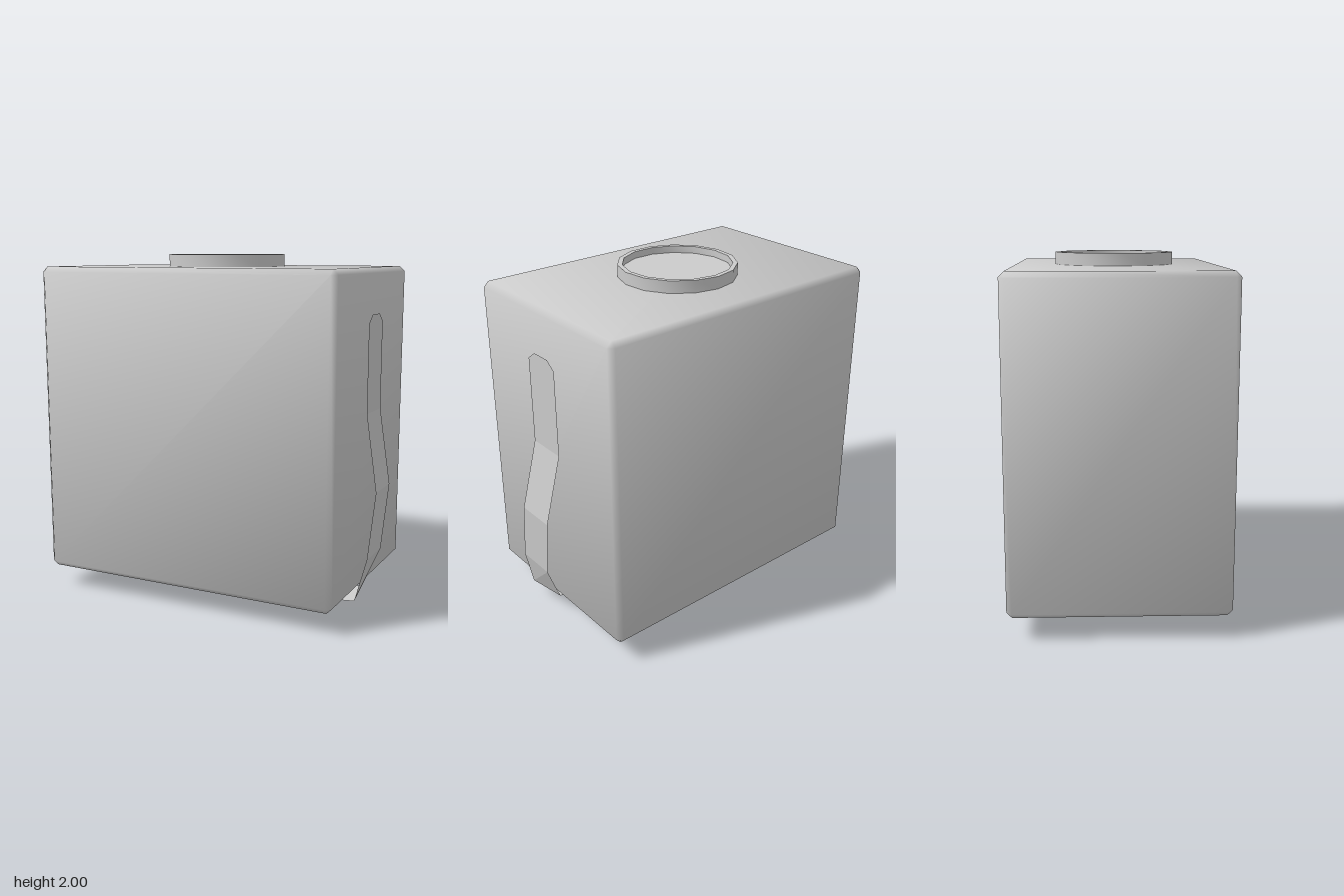
import * as THREE from 'three';
import { ConvexGeometry } from 'three/addons/geometries/ConvexGeometry.js';
import { toCreasedNormals } from 'three/addons/utils/BufferGeometryUtils.js';

const grey = new THREE.MeshStandardMaterial({ color: 0xcccccc });
const strapMaterial = new THREE.MeshStandardMaterial({ color: 0xcccccc, side: THREE.DoubleSide, flatShading: true });

function addPart(group, name, geometry, material, x = 0, y = 0, z = 0) {
  const mesh = new THREE.Mesh(geometry, material);
  mesh.name = name;
  mesh.position.set(x, y, z);
  group.add(mesh);
}

// Box with narrow bevels, shaded softly across its faces
function bevelledBox(w, h, d, bevel) {
  const half = [w / 2, h / 2, d / 2];
  const points = [];
  for (const sx of [-1, 1]) for (const sy of [-1, 1]) for (const sz of [-1, 1])
    for (let axis = 0; axis < 3; axis++) {
      const p = half.map((v, i) => (i === axis ? v : v - bevel));
      points.push(new THREE.Vector3(p[0] * sx, p[1] * sy, p[2] * sz));
    }
  const geometry = new ConvexGeometry(points);
  const pos = geometry.attributes.position;
  const v = new THREE.Vector3();
  for (let i = 0; i < pos.count; i++) {
    v.fromBufferAttribute(pos, i);
    const n = v.toArray().map((c, k) => Math.sign(c) * (Math.abs(c) > half[k] - bevel / 2 ? 1 : 0.35));
    v.fromArray(n).normalize();
    geometry.attributes.normal.setXYZ(i, v.x, v.y, v.z);
  }
  return geometry;
}

// Flat ribbon through pairs of edge points
function ribbon(rows) {
  const index = [];
  for (let i = 0; i < rows.length - 1; i++) {
    const a = i * 2;
    index.push(a, a + 2, a + 1, a + 1, a + 2, a + 3);
  }
  let geometry = new THREE.BufferGeometry();
  geometry.setAttribute('position', new THREE.Float32BufferAttribute(rows.flat(), 3));
  geometry.setIndex(index);
  geometry = geometry.toNonIndexed();
  geometry.computeVertexNormals();
  return geometry;
}

export function createModel() {
  const model = new THREE.Group();
  model.name = 'container';

  addPart(model, 'body', bevelledBox(1.825, 1.81, 1.2, 0.03), grey, -0.0475, 1.025, 0);

  // Low round rim with a recessed lid
  const profile = [[0.34, 1.92], [0.34, 2], [0.312, 2], [0.312, 1.96], [0, 1.96]]
    .map(([r, y]) => new THREE.Vector2(r, y));
  const rim = toCreasedNormals(new THREE.LatheGeometry(profile, 15, Math.PI), 0.6);
  addPart(model, 'rim', rim, grey, -0.05, 0, -0.005);

  // Strap: down the left side, then under the bottom (front edge, back edge)
  addPart(model, 'strap', ribbon([
    [0.88, 1.675, 0.06, 0.88, 1.675, -0.06],
    [0.88, 1.63, 0.12, 0.88, 1.63, -0.12],
    [0.88, 1.13, 0.12, 0.88, 1.13, -0.12],
    [0.96, 0.7, 0.165, 0.96, 0.7, -0.08],
    [0.94, 0.33, 0.235, 0.94, 0.33, -0.01],
    [0.88, 0.09, 0.258, 0.845, 0.095, 0.02],
    [0.43, 0.045, 0.255, 0.45, 0.045, 0.0],
    [0.0, 0.01, 0.21, 0.01, 0.01, -0.035],
    [-0.43, 0.01, 0.02, -0.31, 0.0, -0.185],
    [-0.86, 0.108, -0.28, -0.72, 0.102, -0.47],
    [-0.875, 0.11, -0.34, -0.81, 0.11, -0.44],
  ]), strapMaterial);

  return model;
}
